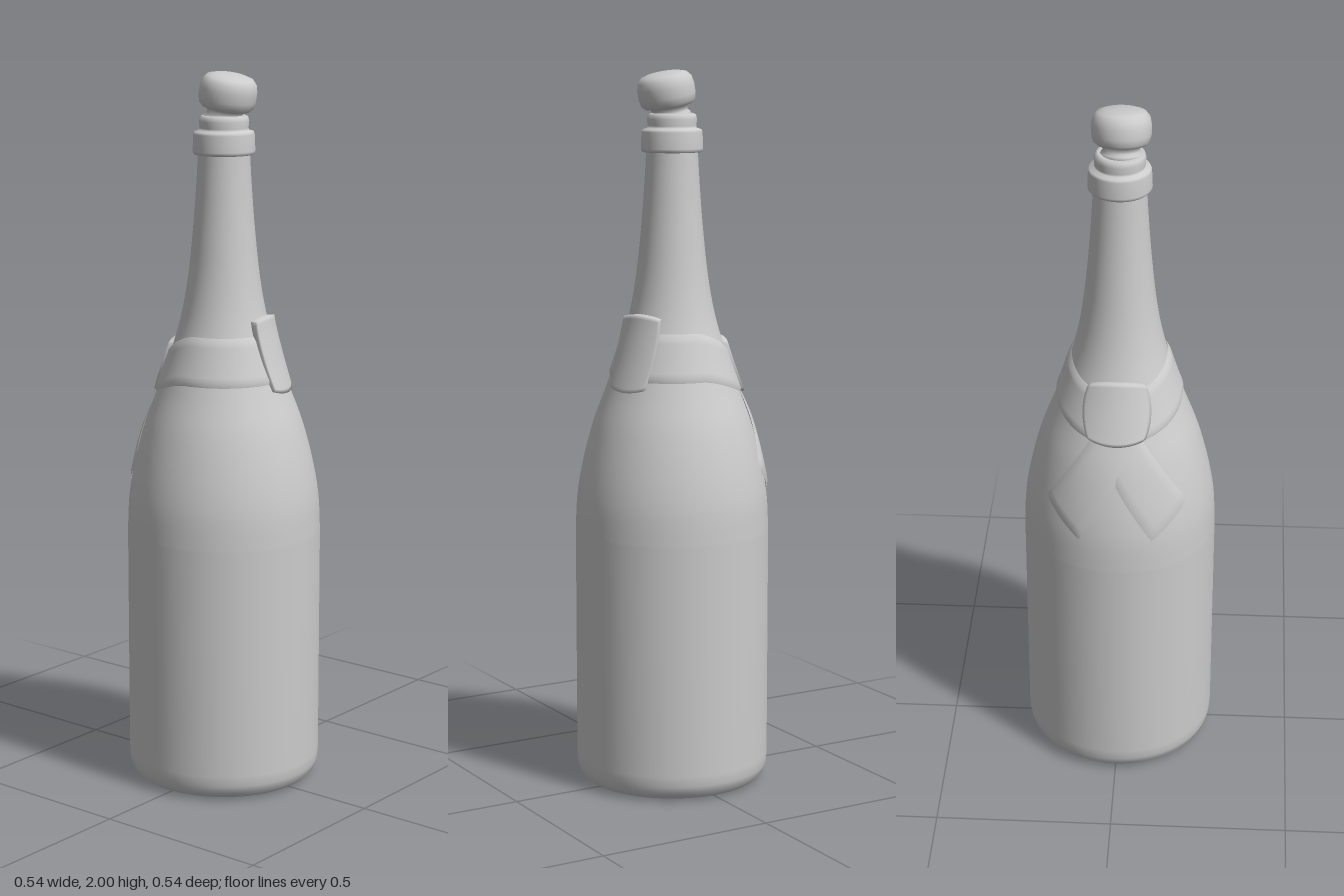
import * as THREE from 'three';

const grey = new THREE.MeshStandardMaterial({ color: 0xcccccc });
const thin = new THREE.MeshStandardMaterial({ color: 0xcccccc, side: THREE.DoubleSide });
const V = (x, y) => new THREE.Vector2(x, y);

// Shoulder and neck curve, from the straight body up to the lip
const neck = new THREE.SplineCurve([
  V(0.272, 0.72), V(0.267, 0.82), V(0.25, 0.92), V(0.221, 1.03), V(0.184, 1.13), V(0.149, 1.23),
  V(0.12, 1.33), V(0.1, 1.44), V(0.085, 1.58), V(0.076, 1.7), V(0.071, 1.79),
]).getPoints(60);

// Bottle radius at a height
function radiusAt(y) {
  if (y <= neck[0].y) return neck[0].x;
  for (let i = 1; i < neck.length; i++) {
    const a = neck[i - 1], b = neck[i];
    if (y <= b.y) return THREE.MathUtils.mapLinear(y, a.y, b.y, a.x, b.x);
  }
  return neck[neck.length - 1].x;
}

function lathe(name, points) {
  const mesh = new THREE.Mesh(new THREE.LatheGeometry(points, 72), grey);
  mesh.name = name;
  return mesh;
}

// Sheet lying on the bottle; rule(u, v) with u, v in -1..1 gives [angle, height, offset]
function wrap(name, nu, nv, rule) {
  const geo = new THREE.PlaneGeometry(2, 2, nu, nv);
  const p = geo.attributes.position;
  for (let i = 0; i < p.count; i++) {
    const [angle, y, offset] = rule(p.getX(i), p.getY(i));
    const r = radiusAt(y) + offset;
    p.setXYZ(i, r * Math.sin(angle), y, r * Math.cos(angle));
  }
  geo.computeVertexNormals();
  const mesh = new THREE.Mesh(geo, thin);
  mesh.name = name;
  return mesh;
}

// Raised patch with rounded corners and an edge that drops to the glass
function patch(name, angle, halfAngle, y0, y1, round, thickness) {
  const clamp = (t) => THREE.MathUtils.clamp(t * 1.1, -1, 1);
  return wrap(name, 22, 22, (u, v) => {
    const rim = Math.max(Math.abs(u), Math.abs(v)) > 0.99;
    const a = clamp(u), b = clamp(v);
    const x = a * Math.sqrt(1 - round * b * b / 2);
    const y = b * Math.sqrt(1 - round * a * a / 2);
    const h = THREE.MathUtils.mapLinear(y, -1, 1, y0, y1);
    // The angle widens where the neck narrows, so the sides stay parallel
    const spread = halfAngle * radiusAt((y0 + y1) / 2) / radiusAt(h);
    return [angle + x * spread, h, rim ? -0.004 : thickness(y)];
  });
}

export function createModel() {
  const group = new THREE.Group();

  // Bottle with hollow base
  group.add(lathe('bottle', [
    V(0, 0.1), V(0.06, 0.095), V(0.12, 0.075), V(0.165, 0.04), V(0.19, 0.012), V(0.205, 0.002),
    V(0.225, 0), V(0.245, 0.006), V(0.262, 0.022), V(0.27, 0.045), V(0.272, 0.075), V(0.272, 0.4),
    ...neck,
  ]));

  // Lip: wide collar and smaller mouth ring
  group.add(lathe('lip', [
    V(0.066, 1.78), V(0.081, 1.78), V(0.085, 1.784), V(0.086, 1.79), V(0.084, 1.835), V(0.081, 1.842),
    V(0.068, 1.846), V(0.067, 1.852), V(0.069, 1.87), V(0.066, 1.882), V(0.058, 1.886), V(0, 1.886),
  ]));

  // Tilted stopper: flange, waist and rounded head
  const stopper = lathe('stopper', [
    V(0, -0.04), V(0.048, -0.04), V(0.058, -0.03), V(0.056, -0.02), V(0.049, -0.014), V(0.051, 0),
    V(0.066, 0.003), V(0.075, 0.012), V(0.079, 0.03), V(0.079, 0.055), V(0.075, 0.075),
    V(0.064, 0.088), V(0.045, 0.094), V(0.02, 0.097), V(0, 0.097),
  ]);
  stopper.position.set(-0.003, 1.903, 0.008);
  stopper.rotation.x = 0.19;
  group.add(stopper);

  // Ribbon band, dipping towards the back
  group.add(wrap('ribbonBand', 72, 10, (u, v) => {
    const angle = u * Math.PI;
    const dip = 0.06 * Math.pow(Math.max(0, -Math.cos(angle)), 1.5);
    const y = THREE.MathUtils.mapLinear(v, -1, 1, 1.16, 1.29) - dip;
    return [angle, y, Math.abs(v) > 0.99 ? 0.001 : 0.007];
  }));

  // Front seal
  group.add(patch('frontSeal', 0.28, 0.46, 1.13, 1.34, 0.35, (y) => 0.015 + 0.006 * y));

  // Knot at the back
  group.add(patch('ribbonKnot', Math.PI, 0.55, 1.1, 1.265, 0.6, () => 0.014));

  // Two crossing ribbon tails
  const rad = THREE.MathUtils.degToRad, mix = THREE.MathUtils.lerp;
  for (const side of [1, -1]) {
    group.add(wrap(side > 0 ? 'leftTail' : 'rightTail', 10, 20, (u, v) => {
      const s = (u + 1) / 2, t = (1 - v) / 2;
      const angle = mix(mix(rad(-16), rad(22), t), mix(rad(8), rad(50), t), s);
      const y = mix(mix(1.11, 0.82, t), mix(1.2, 0.91, t), s);
      const edge = Math.abs(u) > 0.99 || v < -0.99;
      return [Math.PI - side * angle, y, edge ? 0.002 : 0.007 + side * 0.001];
    }));
  }
  return group;
}
